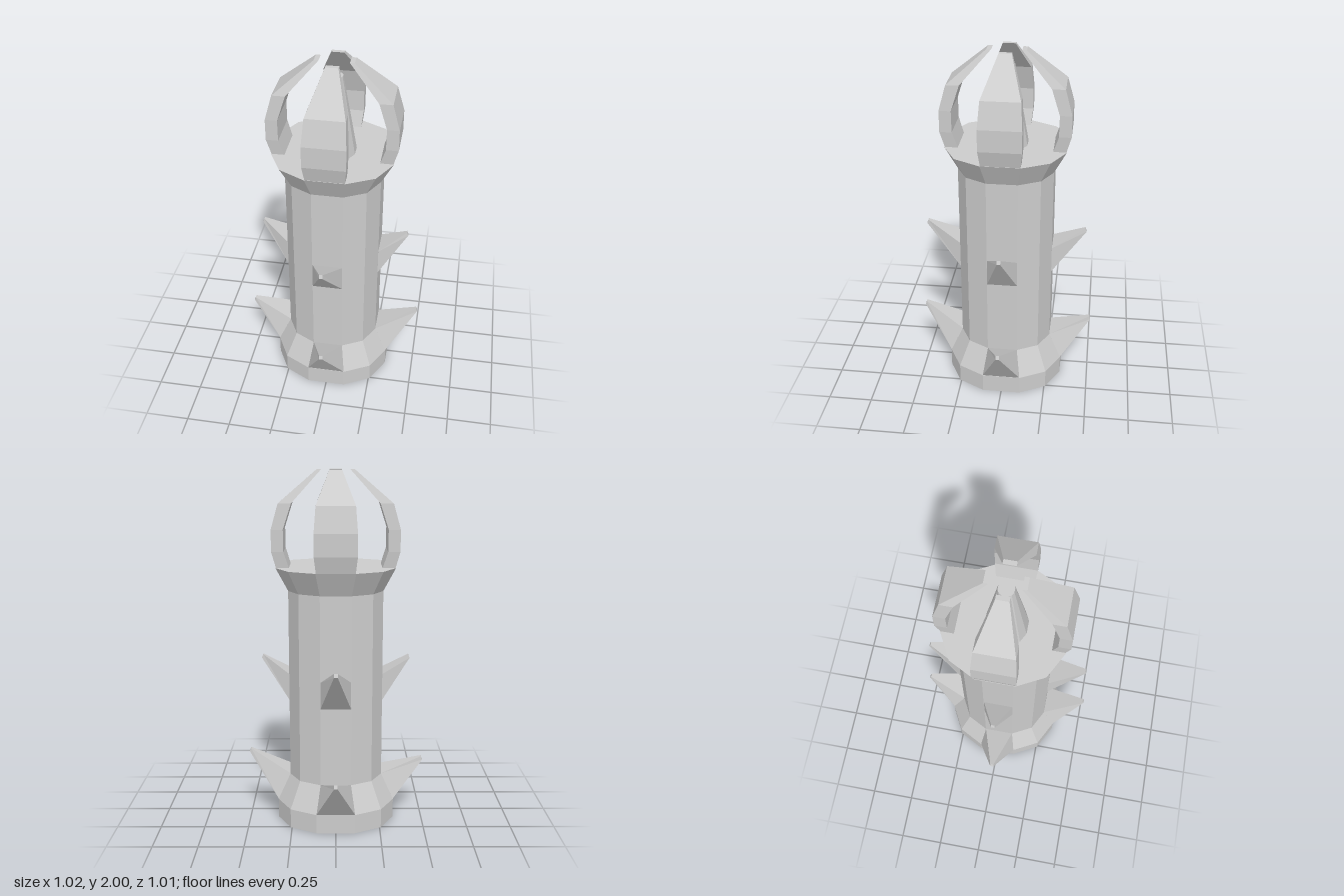
import * as THREE from 'three';

const material = new THREE.MeshStandardMaterial({ color: 0xcccccc, flatShading: true });

// Skin a list of equal-sized rings (counter-clockwise seen from the far end) and cap both ends.
function loft(name, rings) {
  const n = rings[0].length;
  const index = [];
  for (let r = 0; r < rings.length - 1; r++) {
    for (let i = 0; i < n; i++) {
      const a = r * n + i, b = r * n + (i + 1) % n;
      index.push(a, b, b + n, a, b + n, a + n);
    }
  }
  const last = (rings.length - 1) * n;
  for (let i = 1; i < n - 1; i++) {
    index.push(0, i + 1, i, last, last + i, last + i + 1);
  }
  const indexed = new THREE.BufferGeometry();
  indexed.setAttribute('position', new THREE.Float32BufferAttribute(rings.flat(2), 3));
  indexed.setIndex(index);
  const geometry = indexed.toNonIndexed();
  geometry.computeVertexNormals();
  const mesh = new THREE.Mesh(geometry, material);
  mesh.name = name;
  return mesh;
}

// Twelve-sided ring with wide faces on the four axes; half is the distance to those faces.
function towerRing([half, y]) {
  const ring = [];
  for (let q = 0; q < 4; q++) {
    for (const [deg, k] of [[-18, 1.05], [18, 1.05], [45, 1.085]]) {
      const a = THREE.MathUtils.degToRad(deg + q * 90);
      ring.push([half * k * Math.cos(a), y, -half * k * Math.sin(a)]);
    }
  }
  return ring;
}

// Blunt thorn growing out of a wall panel towards +z.
function thorn(name, low, high, tipZ, tipY) {
  const [lw, ly, lz] = low, [hw, hy, hz] = high, t = 0.01;
  return loft(name, [
    [[-lw, ly, lz], [lw, ly, lz], [hw, hy, hz], [-hw, hy, hz]],
    [[-t, tipY - 0.02, tipZ], [t, tipY - 0.02, tipZ], [t, tipY, tipZ - 0.008], [-t, tipY, tipZ - 0.008]],
  ]);
}

export function createModel() {
  const model = new THREE.Group();
  model.name = 'thornedTower';

  // Shaft with flared foot and crown
  const shaft = [[0.335, 0], [0.335, 0.11], [0.265, 0.26], [0.265, 1.34], [0.332, 1.47]];
  model.add(loft('towerShaft', shaft.map(towerRing)));

  // Tapered pillar in the middle of the crown
  model.add(loft('centrePillar', [[0.115, 1.46], [0.041, 1.91]].map(towerRing)));

  // Claw stations: height, outer reach, inner reach, half width
  const claw = [
    [1.46, 0.326, 0.255, 0.104],
    [1.56, 0.354, 0.287, 0.115],
    [1.68, 0.354, 0.288, 0.115],
    [1.82, 0.315, 0.243, 0.105],
    [2.0, 0.105, 0.08, 0.034],
  ];
  const clawRings = claw.map(([y, o, i, w]) => [[-w, y, o], [w, y, o], [w, y, i], [-w, y, i]]);

  // Thorn tips [reach, height] for front, left, back and right
  const lowerTips = [[0.505, 0.39], [0.508, 0.39], [0.505, 0.355], [0.512, 0.337]];
  const upperTips = [[0.47, 0.962], [0.425, 0.96], [0.457, 0.96], [0.425, 0.958]];

  ['front', 'left', 'back', 'right'].forEach((side, k) => {
    const group = new THREE.Group();
    group.name = side + 'Side';
    group.add(loft('claw', clawRings));
    group.add(thorn('lowerThorn', [0.109, 0.11, 0.333], [0.086, 0.26, 0.263], ...lowerTips[k]));
    group.add(thorn('upperThorn', [0.086, 0.705, 0.263], [0.084, 0.86, 0.263], ...upperTips[k]));
    group.rotation.y = k * Math.PI / 2;
    model.add(group);
  });

  return model;
}
